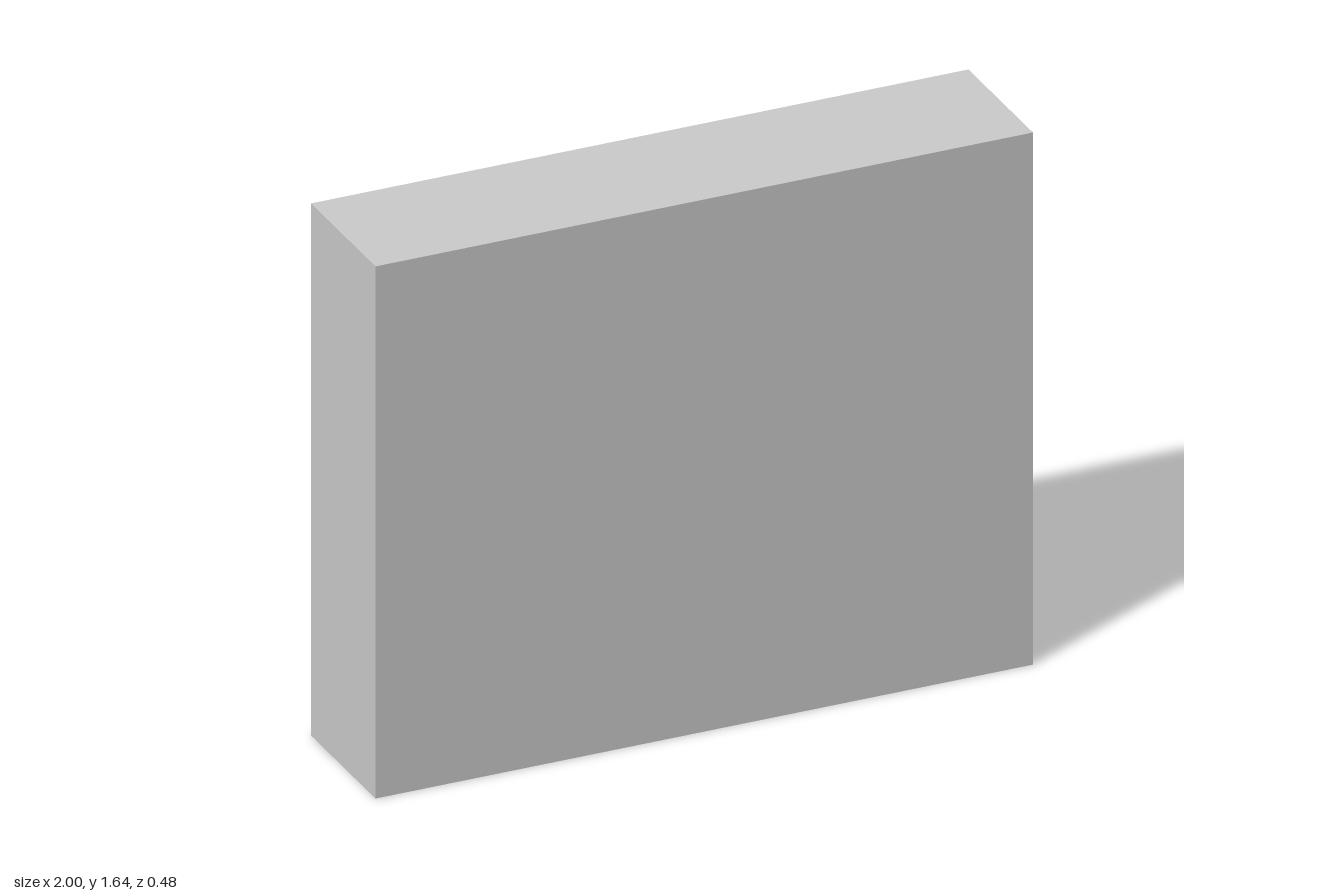
import * as THREE from 'three';

const material = new THREE.MeshStandardMaterial({ color: 0xcccccc, flatShading: true });

// Box given by its minimum and maximum corners
function panel(parent, name, [x0, y0, z0], [x1, y1, z1]) {
  const mesh = new THREE.Mesh(new THREE.BoxGeometry(x1 - x0, y1 - y0, z1 - z0), material);
  mesh.position.set((x0 + x1) / 2, (y0 + y1) / 2, (z0 + z1) / 2);
  mesh.name = name;
  parent.add(mesh);
  return mesh;
}

const DOOR_FACE = -0.19, DOOR_BACK = -0.13, REAR = 0.24;
const DOOR_BOTTOM = 0.053, DOOR_TOP = 1.592, HEIGHT = 1.645;

// Square-section pull: two posts and a grip bar
function createHandle(x) {
  const handle = new THREE.Group();
  handle.name = 'handle';
  const w = 0.009, t = 0.01, out = -0.24, low = 0.69, high = 0.947;
  panel(handle, 'handleGrip', [x - w, low, out], [x + w, high, out + t]);
  for (const y of [low, high - t])
    panel(handle, 'handlePost', [x - w, y, out + t], [x + w, y + t, DOOR_FACE]);
  return handle;
}

export function createModel() {
  const wardrobe = new THREE.Group();
  wardrobe.name = 'wardrobe';

  // Carcass: plinth, body behind the doors, top
  panel(wardrobe, 'plinth', [-1, 0, DOOR_FACE], [1, DOOR_BOTTOM, REAR]);
  panel(wardrobe, 'body', [-1, DOOR_BOTTOM, DOOR_BACK + 0.002], [1, DOOR_TOP, REAR]);
  panel(wardrobe, 'top', [-1, DOOR_TOP, DOOR_FACE], [1, HEIGHT, REAR]);

  // Strip closing the reveal behind the doors on one end
  panel(wardrobe, 'hingeStrip', [-1, DOOR_BOTTOM, DOOR_BACK - 0.002], [-0.98, DOOR_TOP, DOOR_BACK + 0.002]);

  // Three pairs of doors, narrow gap inside a pair, wider gap between pairs
  const pitch = 2 / 3, narrow = 0.003, wide = 0.006;
  for (let i = -1; i <= 1; i++) {
    const centre = i * pitch;
    for (const side of [-1, 1]) {
      const outer = i === side ? side : centre + side * (pitch / 2 - wide);
      const inner = centre + side * narrow;
      panel(wardrobe, 'door',
        [Math.min(inner, outer), DOOR_BOTTOM, DOOR_FACE],
        [Math.max(inner, outer), DOOR_TOP, DOOR_BACK - 0.002]);
      wardrobe.add(createHandle(centre - 0.003 + side * 0.057));
    }
  }
  return wardrobe;
}
